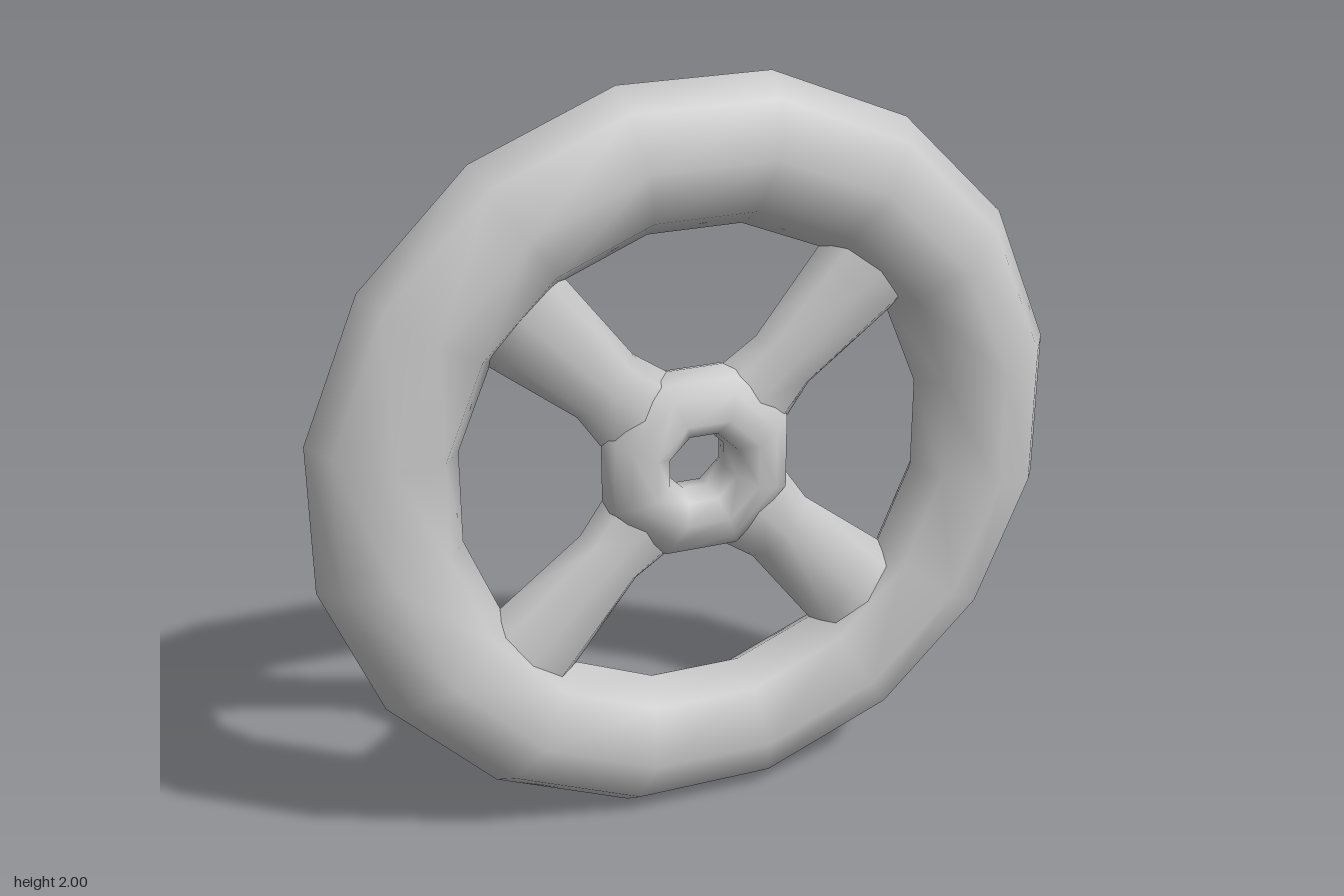
import * as THREE from 'three';
import { mergeVertices } from 'three/addons/utils/BufferGeometryUtils.js';

// Weld coincident points so that shading runs smoothly across seams
function smooth(geometry) {
  geometry.deleteAttribute('uv');
  geometry.deleteAttribute('normal');
  const welded = mergeVertices(geometry, 1e-4);
  welded.computeVertexNormals();
  return welded;
}

// Closed ring about the z axis; half = [radius, z] from inner to outer edge
function ring(half, sides) {
  const back = half.slice(1, -1).reverse().map(([r, z]) => [r, -z]);
  const loop = [...half, ...back, half[0]].map(([r, z]) => new THREE.Vector2(r, -z));
  const geometry = new THREE.LatheGeometry(loop.reverse(), sides, Math.PI / sides);
  geometry.rotateX(Math.PI / 2);
  return smooth(geometry);
}

// Flattened octagonal arm; stations = [distance, half width, half depth]
function arm(stations) {
  const rows = stations.length - 1;
  const geometry = new THREE.CylinderGeometry(1, 1, rows, 8, rows, true);
  const p = geometry.attributes.position;
  for (let i = 0; i < p.count; i++) {
    const [u, w, d] = stations[Math.round(p.getY(i) + rows / 2)];
    p.setXYZ(i, p.getX(i) * w, u, p.getZ(i) * d);
  }
  return smooth(geometry);
}

export function createModel() {
  const group = new THREE.Group();
  const material = new THREE.MeshStandardMaterial({ color: 0xcccccc, side: THREE.DoubleSide });
  const add = (name, geometry) => {
    const mesh = new THREE.Mesh(geometry, material);
    mesh.name = name;
    mesh.position.y = 1;
    group.add(mesh);
    return mesh;
  };

  // Sixteen-sided rim with a rounded section
  add('rim', ring([[0.635, 0], [0.69, 0.085], [0.835, 0.147], [0.967, 0.077], [1.02, 0]], 16));

  // Eight-sided hub: raised collar around the hole, stepping down to a plate
  add('hub', ring([[0.085, 0], [0.1, 0.065], [0.15, 0.105], [0.215, 0.075], [0.255, 0.05], [0.275, 0]], 8));

  // Four diagonal spokes, waisted near the hub and flared towards the rim
  const spokeGeometry = arm([[0.19, 0.13, 0.06], [0.24, 0.125, 0.06], [0.34, 0.106, 0.06], [0.61, 0.141, 0.075], [0.72, 0.155, 0.08]]);
  for (let i = 0; i < 4; i++) {
    add('spoke', spokeGeometry).rotation.z = Math.PI / 4 + i * Math.PI / 2;
  }
  return group;
}
